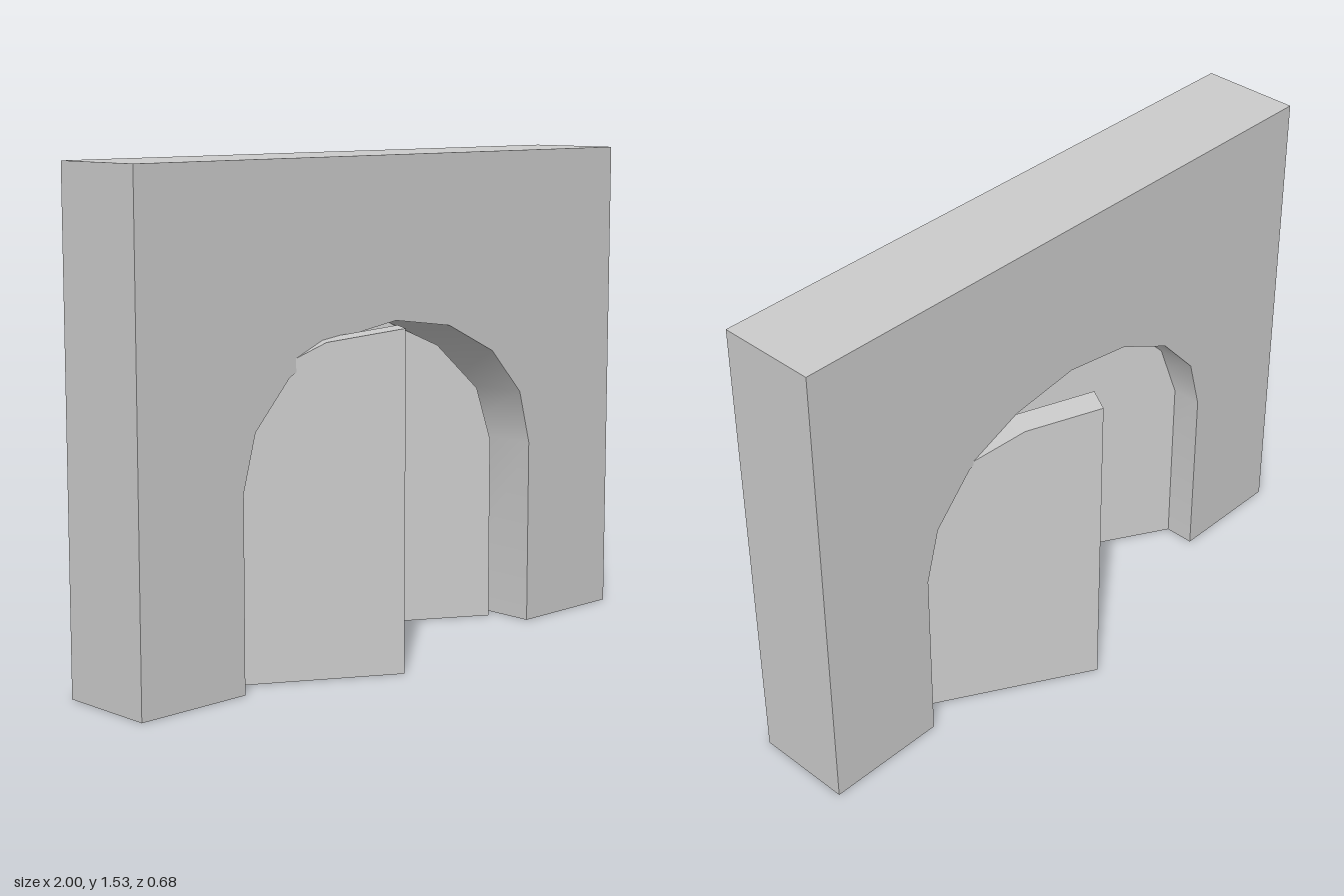
import * as THREE from 'three';
import { toCreasedNormals } from 'three/addons/utils/BufferGeometryUtils.js';

const SPRING = 0.59, RISE = 0.445, HALF = 0.613, CENTRE = -0.008;
const WALL_BACK = -0.145, WALL_FRONT = 0.172, WALL_TOP = 1.53;
const DOOR_WIDTH = 0.618, DOOR_THICKNESS = 0.088, DOOR_ANGLE = Math.PI / 6;

// Points of an elliptical arc in 22.5 degree steps, between step numbers
function arc(cx, rx, from, to) {
  const pts = [];
  for (let i = from; i <= to; i++) {
    const a = (i * Math.PI) / 8;
    pts.push(new THREE.Vector2(cx + rx * Math.cos(a), SPRING + RISE * Math.sin(a)));
  }
  return pts;
}

function extrude(points, depth) {
  const geometry = new THREE.ExtrudeGeometry(new THREE.Shape(points), { depth, bevelEnabled: false });
  return toCreasedNormals(geometry, 0.6);
}

export function createModel() {
  const model = new THREE.Group();
  model.name = 'archedGateway';
  const material = new THREE.MeshStandardMaterial({ color: 0xcccccc });
  const v = (x, y) => new THREE.Vector2(x, y);

  // Wall with an arched opening down to the ground
  const wallOutline = [
    v(1, 0), v(1, WALL_TOP), v(-1, WALL_TOP), v(-1, 0), v(CENTRE - HALF, 0),
    ...arc(CENTRE, HALF, 0, 8).reverse(),
    v(CENTRE + HALF, 0),
  ];
  const wall = new THREE.Mesh(extrude(wallOutline, WALL_FRONT - WALL_BACK), material);
  wall.name = 'archWall';
  wall.position.z = WALL_BACK;
  model.add(wall);

  // Door leaf: half of the arch, hinge side at x = 0
  const leafOutline = [v(0, 0), v(DOOR_WIDTH, 0), ...arc(DOOR_WIDTH, DOOR_WIDTH, 4, 8)];
  const leaf = extrude(leafOutline, DOOR_THICKNESS);

  // The right leaf swings forward, the left leaf swings backward
  const doors = [
    ['rightDoor', -0.625, -0.05, -DOOR_ANGLE],
    ['leftDoor', 0.56, 0.044, Math.PI - DOOR_ANGLE],
  ];
  for (const [name, x, z, angle] of doors) {
    const door = new THREE.Mesh(leaf, material);
    door.name = name;
    door.position.set(x, 0, z);
    door.rotation.y = angle;
    model.add(door);
  }
  return model;
}
